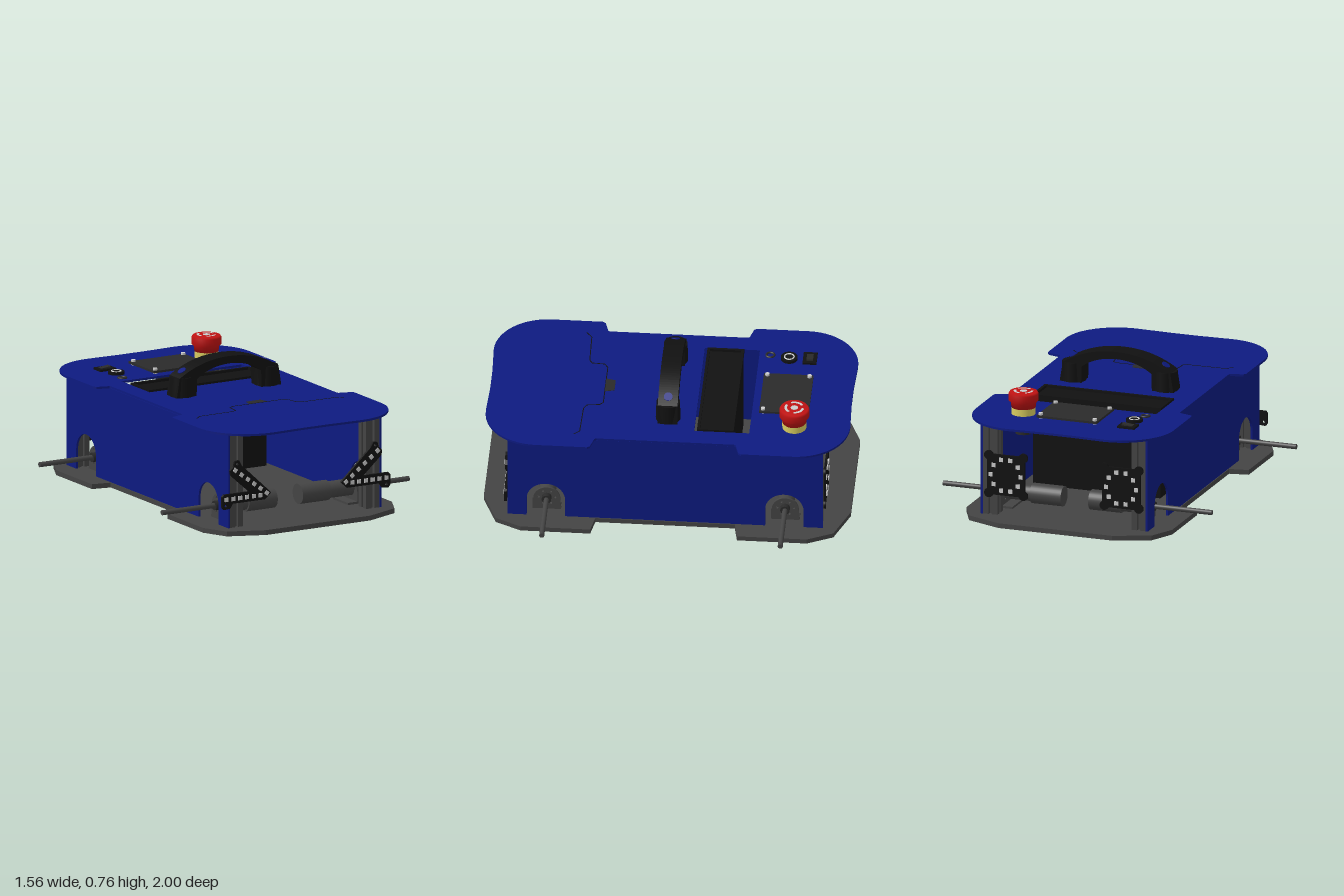
import * as THREE from 'three';

const mat = (color, side = THREE.FrontSide) => new THREE.MeshStandardMaterial({ color, side });
const BLUE = mat(0x0d1a80), BLACK = mat(0x111111), DARK = mat(0x2a2a2a), GREY = mat(0x444444);
const RED = mat(0xc01212), YELLOW = mat(0xd8cc60), LIGHT = mat(0xcccccc);

export function createModel() {
  const root = new THREE.Group();

  const add = (name, geo, material, x = 0, y = 0, z = 0) => {
    const m = new THREE.Mesh(geo, material);
    m.name = name;
    m.position.set(x, y, z);
    root.add(m);
    return m;
  };
  const box = (name, material, w, h, d, x, y, z) => add(name, new THREE.BoxGeometry(w, h, d), material, x, y, z);
  const rod = (name, material, r0, r1, h, x, y, z) =>
    add(name, new THREE.CylinderGeometry(r1, r0, h, 32), material, x, y, z);
  const rodX = (name, material, r, x0, x1, y, z) => {
    const m = rod(name, material, r, r, Math.abs(x1 - x0), (x0 + x1) / 2, y, z);
    m.rotation.z = Math.PI / 2;
    return m;
  };
  const poly = (pts) => new THREE.Shape(pts.map(([x, y]) => new THREE.Vector2(x, y)));
  const extrude = (shape, depth) =>
    new THREE.ExtrudeGeometry(shape, { depth, bevelEnabled: false, curveSegments: 20 });
  // horizontal plate: shape is drawn in x and z, top face at the given height
  const plate = (name, shape, material, top, depth) =>
    add(name, extrude(shape, depth).rotateX(Math.PI / 2), material, 0, top, 0);
  // mirrors a quarter outline, listed from the front middle to the side, into all four quadrants
  const fourfold = (q) => {
    const r = [...q].reverse();
    return poly([...q, ...r.map(([x, z]) => [x, -z]), ...q.map(([x, z]) => [-x, -z]), ...r.map(([x, z]) => [-x, z])]);
  };
  const rectHole = (x0, z0, x1, z1) =>
    new THREE.Path([[x0, z0], [x1, z0], [x1, z1], [x0, z1]].map(([x, z]) => new THREE.Vector2(x, z)));

  // base plate with faceted flares over the wheels
  plate('basePlate', fourfold([[0.33, 1], [0.53, 0.92], [0.597, 0.78], [0.597, 0.4], [0.49, 0.38]]), GREY, 0.027, 0.027);

  // top deck with rounded ends, waist and battery opening
  const deckPts = [[0.08, 0.985]];
  for (let i = 0; i <= 14; i++) {
    const a = (i / 14) * Math.PI / 2;
    deckPts.push([0.28 + 0.295 * Math.sin(a), 0.7 + 0.293 * Math.cos(a)]);
  }
  deckPts.push([0.575, 0.42], [0.565, 0.405], [0.495, 0.385], [0.49, 0.375]);
  const deck = fourfold(deckPts);
  deck.holes.push(rectHole(-0.38, -0.45, 0.38, -0.15));
  plate('topDeck', deck, BLUE, 0.566, 0.012);

  // side panels with wheel arches
  const side = new THREE.Shape();
  side.moveTo(-0.86, 0.027);
  for (const z of [-0.65, 0.65]) {
    side.lineTo(z - 0.105, 0.027);
    side.lineTo(z - 0.105, 0.135);
    side.absarc(z, 0.135, 0.105, Math.PI, 0, true);
    side.lineTo(z + 0.105, 0.027);
  }
  side.lineTo(0.86, 0.027);
  side.lineTo(0.86, 0.55);
  side.lineTo(-0.86, 0.55);
  for (const s of [-1, 1])
    add('sidePanel', extrude(side, 0.012).rotateY(-Math.PI / 2), BLUE, s * 0.479 + 0.006, 0, 0);

  // slotted corner posts
  const w = 0.042, n = 0.009, d = 0.018;
  const slot = [[-w, -w], [-n, -w], [-n, -w + d], [n, -w + d], [n, -w], [w, -w]];
  const post = [];
  for (let k = 0; k < 4; k++) {
    const c = Math.round(Math.cos(k * Math.PI / 2)), t = Math.round(Math.sin(k * Math.PI / 2));
    slot.slice(0, 5).forEach(([x, y]) => post.push([x * c - y * t, x * t + y * c]));
  }
  const postGeo = extrude(poly(post), 0.525).rotateX(Math.PI / 2);

  // motor mount outline, drawn in z and y
  const mount = new THREE.Shape();
  mount.moveTo(-0.078, 0.027);
  mount.lineTo(0.078, 0.027);
  mount.lineTo(0.078, 0.095);
  mount.absarc(0, 0.095, 0.073, 0, Math.PI, false);
  mount.lineTo(-0.078, 0.027);
  for (let i = 0; i < 6; i++) {
    const a = (i / 6) * Math.PI * 2;
    mount.holes.push(new THREE.Path().absarc(0.045 * Math.cos(a), 0.105 + 0.045 * Math.sin(a), 0.007, 0, Math.PI * 2));
  }
  const mountGeo = extrude(mount, 0.012).rotateY(-Math.PI / 2);

  for (const s of [-1, 1]) for (const e of [-1, 1]) {
    add('cornerPost', postGeo, GREY, s * 0.431, 0.552, e * 0.815);
    const z = e * 0.65;
    rodX('motor', GREY, 0.056, s * 0.08, s * 0.26, 0.107, z);
    rodX('gearbox', GREY, 0.046, s * 0.26, s * 0.41, 0.107, z);
    rodX('axle', GREY, 0.014, s * 0.4, s * 0.78, 0.107, z);
    rodX('axleCollar', DARK, 0.026, s * 0.41, s * 0.45, 0.107, z);
    add('motorMount', mountGeo, GREY, s * 0.416 + 0.006, 0, z);
    box('mountFoot', GREY, 0.07, 0.012, 0.156, s * 0.385, 0.033, z);
  }

  // lamp plates: forked at the front, square with lobed corners at the back
  const fork = [[0.222, 0.2], [0.26, 0.165], [0.465, 0.165], [0.48, 0.14], [0.52, 0.136], [0.531, 0.15], [0.531, 0.208],
    [0.52, 0.22], [0.36, 0.22], [0.475, 0.322], [0.48, 0.35], [0.458, 0.37], [0.45, 0.397], [0.425, 0.402], [0.408, 0.372]];
  const lamp = (s, x, y, z, turn) => {
    box('lamp', LIGHT, 0.023, 0.023, 0.006, s * x, y, z).rotation.z = s * turn;
  };
  for (const s of [-1, 1]) {
    const shape = poly(fork.map(([x, y]) => [s * x, y]));
    for (const [x, y] of [[0.508, 0.157], [0.436, 0.382]])
      shape.holes.push(new THREE.Path().absarc(s * x, y, 0.008, 0, Math.PI * 2));
    add('frontLampPlate', extrude(shape, 0.014), BLACK, 0, 0, 0.86);
    for (let i = 0; i < 6; i++) {
      lamp(s, 0.29 + i * 0.043, 0.192, 0.875, 0);
      lamp(s, 0.25 + i * 0.04, 0.2 + i * 0.03, 0.875, 0.65);
    }

    box('rearLampPlate', BLACK, 0.22, 0.23, 0.012, s * 0.335, 0.26, -0.866);
    for (const u of [-1, 1]) for (const v of [-1, 1])
      rod('plateLobe', BLACK, 0.026, 0.026, 0.012, s * 0.335 + u * 0.1, 0.26 + v * 0.107, -0.866).rotation.x = Math.PI / 2;
    for (let i = 0; i < 10; i++) {
      const a = (i / 10) * Math.PI * 2;
      lamp(s, 0.335 + 0.087 * Math.cos(a), 0.26 + 0.092 * Math.sin(a), -0.874, 0);
    }
  }

  // battery case standing in the deck opening
  box('batteryCase', BLACK, 0.74, 0.5, 0.19, 0, 0.31, -0.265);
  const rim = poly([[-0.375, -0.365], [0.375, -0.365], [0.375, -0.165], [-0.375, -0.165]]);
  rim.holes.push(rectHole(-0.36, -0.35, 0.36, -0.18));
  plate('batteryCaseRim', rim, BLACK, 0.574, 0.03);

  // carrying handle
  const arch = new THREE.Shape();
  arch.moveTo(0.33, 0.565);
  arch.lineTo(0.312, 0.675);
  arch.quadraticCurveTo(0.17, 0.765, 0, 0.764);
  arch.quadraticCurveTo(-0.17, 0.765, -0.312, 0.675);
  arch.lineTo(-0.33, 0.565);
  arch.lineTo(-0.205, 0.565);
  arch.lineTo(-0.203, 0.66);
  arch.quadraticCurveTo(-0.12, 0.722, 0, 0.723);
  arch.quadraticCurveTo(0.12, 0.722, 0.203, 0.66);
  arch.lineTo(0.205, 0.565);
  add('handleGrip', extrude(arch, 0.108), BLACK, 0, 0, -0.054);
  for (const s of [-1, 1]) {
    rod('handleFoot', BLACK, 0.068, 0.064, 0.108, s * 0.267, 0.62, 0);
    rod('handleScrew', BLUE, 0.024, 0.024, 0.004, s * 0.267, 0.705, 0).rotation.z = -s * 0.52;
  }

  // emergency stop button
  const ex = 0.3, ez = -0.69;
  rod('stopBase', YELLOW, 0.066, 0.066, 0.042, ex, 0.585, ez);
  add('stopButton', new THREE.LatheGeometry([[0, 0], [0.066, 0], [0.07, 0.03], [0.082, 0.04], [0.082, 0.077],
    [0.075, 0.088], [0, 0.09]].map(([x, y]) => new THREE.Vector2(x, y)), 36), RED, ex, 0.604, ez);
  for (let i = 0; i < 3; i++)
    add('stopArc', new THREE.RingGeometry(0.04, 0.054, 12, 1, i * 2.094, 1.5).rotateX(-Math.PI / 2), LIGHT, ex, 0.6955, ez);
  rod('stopCentre', LIGHT, 0.02, 0.02, 0.002, ex, 0.695, ez);
  rod('stopBody', DARK, 0.045, 0.045, 0.1, ex, 0.505, ez);

  // display panel with corner screws
  box('displayPanel', DARK, 0.35, 0.012, 0.27, 0.025, 0.579, -0.625);
  box('displayBoard', DARK, 0.26, 0.03, 0.2, 0.025, 0.54, -0.625);
  for (const x of [-0.132, 0.182]) for (const z of [-0.74, -0.51])
    rod('displayScrew', LIGHT, 0.012, 0.012, 0.03, x, 0.582, z);

  // power switch, push button and socket
  box('switchFrame', BLACK, 0.1, 0.012, 0.076, -0.32, 0.571, -0.728);
  box('switchRocker', DARK, 0.06, 0.012, 0.036, -0.32, 0.577, -0.728).rotation.z = 0.12;
  box('switchBody', BLACK, 0.08, 0.06, 0.06, -0.32, 0.525, -0.728);
  rod('pushButton', BLACK, 0.046, 0.046, 0.016, -0.315, 0.573, -0.615);
  rod('pushButtonBody', BLACK, 0.032, 0.032, 0.1, -0.315, 0.505, -0.615);
  add('pushButtonRing', new THREE.TorusGeometry(0.026, 0.004, 8, 28).rotateX(Math.PI / 2), LIGHT, -0.315, 0.581, -0.615);
  add('socketRing', new THREE.TorusGeometry(0.022, 0.006, 8, 28).rotateX(Math.PI / 2), DARK, -0.34, 0.568, -0.51);

  // hatch seam and finger tab on the front of the deck
  const seam = [[-0.47, 0.5], [-0.43, 0.47], [-0.22, 0.465], [-0.195, 0.45], [-0.19, 0.38], [-0.16, 0.362], [0.16, 0.362],
    [0.18, 0.38], [0.19, 0.45], [0.22, 0.465], [0.43, 0.47], [0.46, 0.5]];
  for (let i = 1; i < seam.length; i++) {
    const [x0, z0] = seam[i - 1], [x1, z1] = seam[i];
    box('hatchSeam', BLACK, Math.hypot(x1 - x0, z1 - z0), 0.002, 0.005, (x0 + x1) / 2, 0.566, (z0 + z1) / 2)
      .rotation.y = -Math.atan2(z1 - z0, x1 - x0);
  }
  plate('hatchTab', poly([[-0.045, 0.31], [0.045, 0.31], [0.058, 0.362], [-0.058, 0.362]]), DARK, 0.568, 0.006);

  return root;
}
